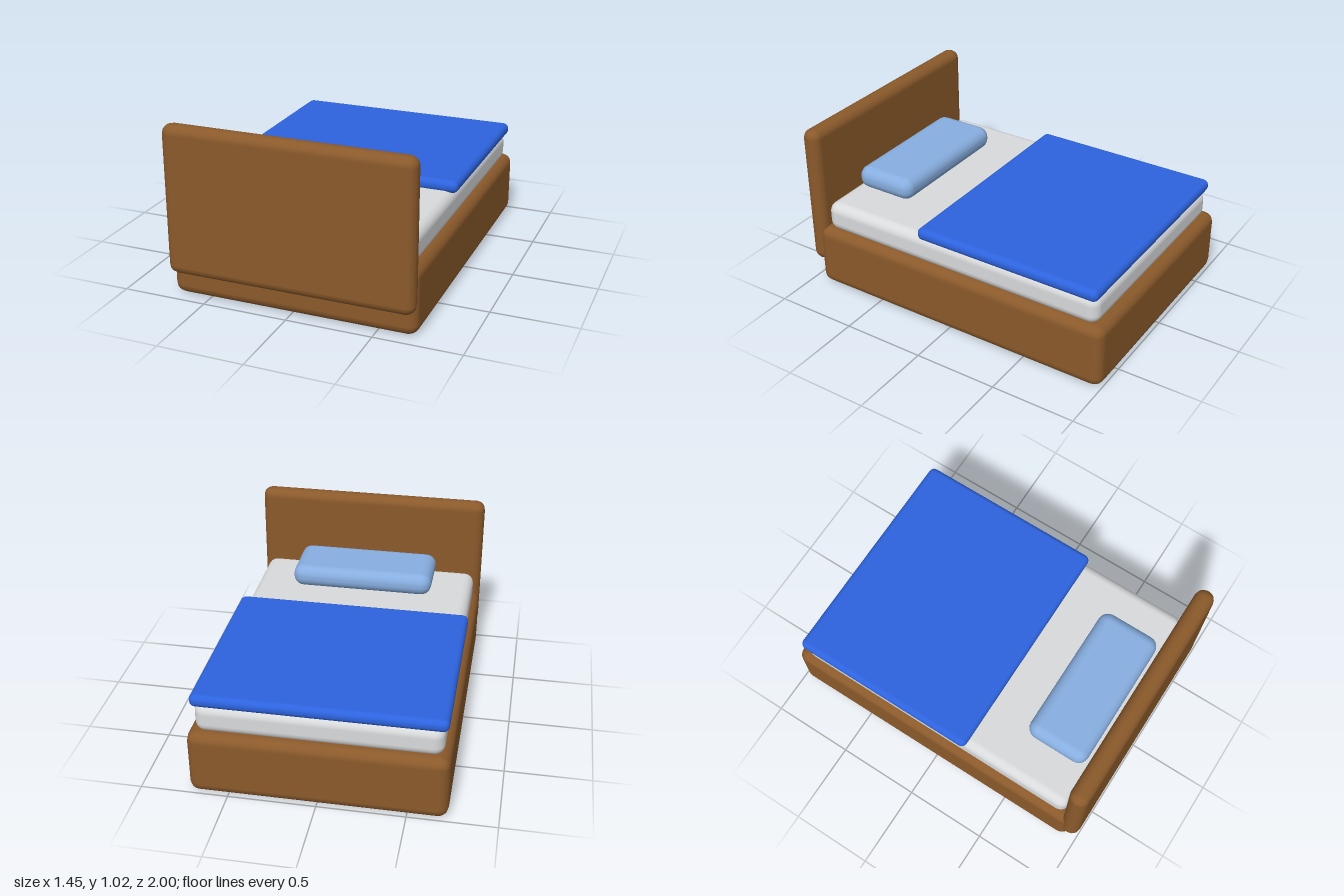
import * as THREE from 'three';
import { RoundedBoxGeometry } from 'three/addons/geometries/RoundedBoxGeometry.js';

export function createModel() {
  const bed = new THREE.Group();
  bed.name = 'bed';

  const material = (name, color) => {
    const m = new THREE.MeshStandardMaterial({ color });
    m.name = name;
    return m;
  };
  const wood = material('brown wood', 0x8b5a2b);
  const sheet = material('pale grey sheet', 0xd9dadc);
  const blue = material('blue blanket', 0x2d63de);
  const lightBlue = material('light blue pillow', 0x87aee0);

  // Soft-edged block centred on x, given by its width and its y and z extents
  function block(name, mat, width, [y0, y1], [z0, z1], radius, segments) {
    const geometry = new RoundedBoxGeometry(width, y1 - y0, z1 - z0, segments, radius);
    const mesh = new THREE.Mesh(geometry, mat);
    mesh.name = name;
    mesh.position.set(0, (y0 + y1) / 2, (z0 + z1) / 2);
    bed.add(mesh);
  }

  // Wooden frame
  block('base', wood, 1.45, [0, 0.39], [-1, 0.94], 0.06, 2);
  block('headboard', wood, 1.45, [0.145, 1.02], [0.885, 1], 0.055, 2);

  // Bedding
  block('mattress', sheet, 1.37, [0.37, 0.55], [-0.945, 0.885], 0.06, 3);
  block('blanket', blue, 1.41, [0.535, 0.61], [-0.95, 0.21], 0.035, 3);
  block('pillow', lightBlue, 0.88, [0.55, 0.69], [0.46, 0.845], 0.065, 3);

  return bed;
}
